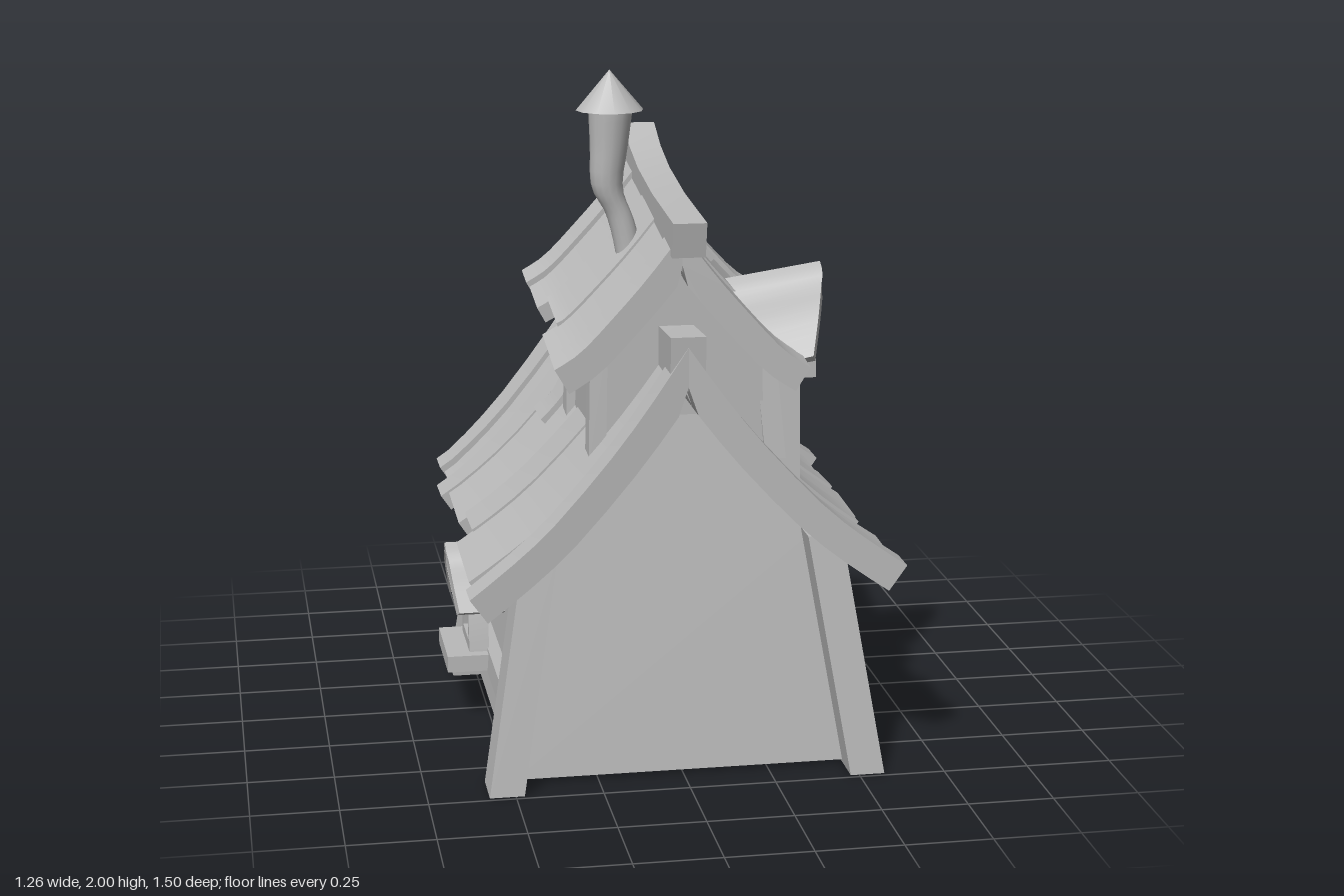
import * as THREE from 'three';
import { toCreasedNormals } from 'three/addons/utils/BufferGeometryUtils.js';

const clay = new THREE.MeshStandardMaterial({ color: 0xbababa, side: THREE.DoubleSide });
clay.name = 'clay grey';

function add(parent, name, geo) {
  const m = new THREE.Mesh(geo, clay);
  m.name = name;
  parent.add(m);
  return m;
}

function warp(geo, fn) {
  const p = geo.attributes.position, v = new THREE.Vector3();
  for (let i = 0; i < p.count; i++) {
    fn(v.fromBufferAttribute(p, i));
    p.setXYZ(i, v.x, v.y, v.z);
  }
  return geo;
}
const crease = (g) => toCreasedNormals(g, 0.6);
const outlineShape = (pts) => new THREE.Shape(pts.map(([x, y]) => new THREE.Vector2(x, y)));

// extrude an xy outline between two z values
function slab(outline, z0, z1, fn, holes = []) {
  const shape = outline instanceof THREE.Shape ? outline : outlineShape(outline);
  shape.holes.push(...holes);
  const g = new THREE.ExtrudeGeometry(shape, { depth: z1 - z0, bevelEnabled: false, curveSegments: 8 });
  g.translate(0, 0, z0);
  if (fn) warp(g, fn);
  return crease(g);
}

// extrude a zy outline across x
const crossSlab = (outline, x0, x1) => slab(outline, -x1, -x0).rotateY(-Math.PI / 2);

// one curved half of a gable roof, side = 1 or -1
function roofHalf(side, pts, t, z0, z1, fn) {
  const top = new THREE.SplineCurve(pts.map(([x, y]) => new THREE.Vector2(x, y))).getPoints(10);
  const low = top.map((p, i) => {
    const d = top[Math.min(i + 1, 10)].clone().sub(top[Math.max(i - 1, 0)]).normalize();
    return p.x < 0.005 ? new THREE.Vector2(0, p.y - t * 1.4)
      : new THREE.Vector2(Math.max(0, p.x + d.y * t), p.y - d.x * t);
  });
  return slab([...top, ...low.reverse()].map((p) => [p.x * side, p.y]), z0, z1, fn);
}

// straight timber from bottom centre to top centre with a level cut at both ends
function post(a, b, w, d) {
  const g = new THREE.BoxGeometry(w, 1, d);
  return crease(warp(g, (v) => {
    const k = v.y + 0.5;
    v.x += a[0] + (b[0] - a[0]) * k;
    v.z += a[2] + (b[2] - a[2]) * k;
    v.y = a[1] + (b[1] - a[1]) * k;
  }));
}
const box = (x0, x1, y0, y1, z0, z1) =>
  new THREE.BoxGeometry(x1 - x0, y1 - y0, z1 - z0).translate((x0 + x1) / 2, (y0 + y1) / 2, (z0 + z1) / 2);

// pointed arch outline
function arch(w, y0, y1, Type = THREE.Shape) {
  const s = new Type(), ym = y0 + (y1 - y0) * 0.4;
  s.moveTo(-w, y0);
  s.lineTo(w, y0);
  s.quadraticCurveTo(w * 0.85, ym, w * 0.45, y1 - w * 0.3);
  s.quadraticCurveTo(0, y1 + w * 0.3, -w * 0.45, y1 - w * 0.3);
  s.quadraticCurveTo(-w * 0.85, ym, -w, y0);
  return s;
}
function archWindow(g, w, y0, y1, z, rim) {
  add(g, 'archFrame', slab(arch(w, y0, y1), z - 0.06, z, null, [arch(w - rim, y0 + rim, y1 - rim * 1.5, THREE.Path)]));
  add(g, 'archPane', slab(arch(w - rim * 0.5, y0, y1 - rim), z - 0.05, z - 0.04));
}

const MAIN = [[0, 1.26], [0.1, 1.12], [0.22, 0.97], [0.38, 0.8], [0.5, 0.7], [0.6, 0.63]];
const UPPER = [[0, 1.57], [0.1, 1.44], [0.2, 1.325], [0.29, 1.23], [0.35, 1.19]];
const stretch = (pts, e, dy) => pts.map(([x, y], i) =>
  i === pts.length - 1 ? [x + e, y + dy - e * 0.7] : [x, y + dy]);

function lowerHouse(g) {
  // thin wall shell, open underneath
  const gable = [[-0.49, 0.01], [0.49, 0.01], [0.415, 0.7], [0.3, 0.8], [0.15, 0.97], [0, 1.17],
    [-0.15, 0.97], [-0.3, 0.8], [-0.415, 0.7]];
  const front = (y) => 0.635 - 0.13 * y, back = (y) => -0.37 + 0.08 * y;
  add(g, 'frontWall', crease(warp(new THREE.ShapeGeometry(outlineShape(gable)), (v) => { v.z = front(v.y); })));
  add(g, 'backWall', crease(warp(new THREE.ShapeGeometry(outlineShape(gable.map(([x, y]) => [-x, y]))).rotateY(Math.PI),
    (v) => { v.z = back(v.y); })));
  for (const s of [1, -1]) {
    add(g, 'sideWall', crease(warp(new THREE.PlaneGeometry(1, 1).rotateY(s * Math.PI / 2), (v) => {
      const k = v.y + 0.5, y = 0.01 + 0.69 * k;
      v.set(s * (0.49 - 0.075 * k), y, v.z > 0 ? front(y) : back(y));
    })));
    add(g, 'frontCornerPost', post([s * 0.525, 0, 0.67], [s * 0.41, 0.7, 0.58], 0.1, 0.13));
    add(g, 'backCornerPost', post([s * 0.525, 0, -0.36], [s * 0.41, 0.7, -0.305], 0.1, 0.125));
    const rafter = MAIN.map(([x, y]) => [x, y - 0.03]).slice(0, 5);
    add(g, 'frontRafter', roofHalf(s, rafter, 0.06, 0.5, 0.61));
    add(g, 'backRafter', roofHalf(s, rafter, 0.08, -0.4, -0.27));
    add(g, 'sideRail', post([s * 0.48, 0.155, 0.14], [s * 0.475, 0.22, 0.14], 0.06, 0.94));
  }
  add(g, 'backRail', box(-0.46, 0.46, 0.155, 0.22, -0.39, -0.33));
  add(g, 'backBeam', box(-0.42, 0.42, 0.56, 0.63, -0.38, -0.3));
}

function lowerRoof(g) {
  const lift = (v) => { v.y += 0.13 * Math.max(0, -v.z / 0.5) * Math.max(0, 1 - Math.abs(v.x) / 0.55); };
  // planks per side: z start, z end, eave stretch
  const left = [[-0.44, -0.19, -0.01], [-0.19, -0.01, -0.015], [-0.01, 0.21, 0.005], [0.21, 0.43, -0.04], [0.43, 0.63, 0.015]];
  const right = [[-0.44, -0.31, -0.02], [-0.31, -0.18, 0.015], [-0.18, 0.11, -0.01], [0.11, 0.3, -0.03], [0.3, 0.63, 0.015]];
  for (const s of [1, -1]) {
    (s > 0 ? left : right).forEach(([a, b, e], i) => {
      const tilt = i % 2 ? 0.03 : -0.04, mid = (a + b) / 2;
      add(g, 'roofPlank', roofHalf(s, stretch(MAIN, e, 0.012 * (i % 2)), 0.055, a - 0.005, b + 0.005,
        (v) => { v.y += tilt * (v.z - mid); lift(v); }));
    });
    const drop = s > 0 ? 0 : 0.035;
    add(g, 'frontBargeboard', roofHalf(s, stretch(MAIN, 0.025, 0.02), 0.09, 0.6, 0.7,
      (v) => { v.z += Math.abs(v.x) * 0.08; v.y -= drop * Math.abs(v.x) / 0.6; }));
    add(g, 'backBargeboard', roofHalf(s, stretch(MAIN, s > 0 ? 0.03 : -0.005, 0.025), 0.09, -0.545, -0.43,
      (v) => { v.z += Math.abs(v.x) * 0.03; lift(v); }));
    const patch = [[0.24, 0.99], [0.28, 0.94], [0.32, 0.9]];
    add(g, 'loosePlank', roofHalf(s, patch, 0.05, -0.2, -0.04));
  }
  add(g, 'lowerRidge', crossSlab([[0.7, 1.31], [0.3, 1.29], [-0.15, 1.345], [-0.5, 1.41], [-0.57, 1.48],
    [-0.63, 1.575], [-0.67, 1.595], [-0.69, 1.58], [-0.66, 1.42], [-0.63, 1.26], [-0.52, 1.26], [0.3, 1.18], [0.69, 1.17]],
  -0.05, 0.05));
}

function upperHouse(g) {
  add(g, 'upperWalls', slab([[-0.23, 0.8], [0.26, 0.8], [0.25, 1.23], [0, 1.47], [-0.22, 1.27]], -0.03, 0.5));
  for (const z of [0.48, 0.02]) {
    add(g, 'upperPostRight', post([0.29, 0.9, z], [0.26, 1.24, z - 0.03], 0.06, 0.07));
    add(g, 'upperPostLeft', post([-0.23, 0.9, z], [-0.22, 1.28, z - 0.02], 0.05, 0.07));
  }
  for (const s of [1, -1]) {
    const rise = s > 0 ? 0.08 : 0.12, eave = s > 0 ? 0 : 0.06;
    const lift = (v) => { v.y += rise * (0.6 - v.z) / 0.75 + eave * Math.abs(v.x); };
    const bands = [[-0.08, 0.13], [0.13, 0.33], [0.33, 0.51]];
    bands.forEach(([a, b], i) => add(g, 'upperPlank', roofHalf(s, stretch(UPPER, [0.0, -0.03, 0.01][i], 0.01 * (i % 2)),
      0.05, a - 0.005, b + 0.005, lift)));
    add(g, 'upperFrontBoard', roofHalf(s, stretch(UPPER, 0.015, 0.015), 0.08, 0.5, 0.6,
      (v) => { v.z += Math.abs(v.x) * 0.06; lift(v); }));
    add(g, 'upperBackBoard', roofHalf(s, stretch(UPPER, 0.01, 0.02), 0.085, -0.165, -0.06,
      (v) => { v.z += Math.abs(v.x) * 0.06; lift(v); }));
  }
  add(g, 'upperPatch', roofHalf(1, [[0.08, 1.53], [0.12, 1.485], [0.16, 1.445]], 0.04, 0.11, 0.26));
  add(g, 'upperRidge', crossSlab([[0.65, 1.62], [0.3, 1.645], [0.05, 1.68], [-0.1, 1.72], [-0.22, 1.775], [-0.24, 1.765],
    [-0.19, 1.59], [0, 1.58], [0.3, 1.55], [0.63, 1.52]], -0.035, 0.06));
}

function chimney(g) {
  // bent pipe, flared by rings along a curve
  const path = new THREE.CatmullRomCurve3([[-0.09, 1.38], [-0.1, 1.48], [-0.125, 1.58], [-0.16, 1.66], [-0.155, 1.78], [-0.15, 1.89]]
    .map(([x, y]) => new THREE.Vector3(x, y, 0.265)));
  const radii = (k) => 0.038 + 0.026 * Math.max(0, (k - 0.45) / 0.55);
  const pipe = new THREE.CylinderGeometry(1, 1, 1, 14, 16);
  warp(pipe, (v) => {
    const k = v.y + 0.5, c = path.getPoint(k), r = radii(k);
    v.set(c.x + v.x * r, c.y, c.z + v.z * r);
  });
  add(g, 'chimneyPipe', crease(pipe));
  add(g, 'chimneyCap', crease(new THREE.ConeGeometry(0.098, 0.115, 12).translate(-0.152, 1.9425, 0.26)));
}

// small gable roof in a local frame facing +z, its front edge swept back beyond the crown
function hood(g, pts, t, z0, z1, flare, rise = 0) {
  for (const s of [1, -1]) {
    add(g, 'hoodRoof', roofHalf(s, pts, t, z0, z1, (v) => {
      v.y += rise * (v.z - z1);
      if (v.z > (z0 + z1) / 2) v.z -= Math.max(0, Math.abs(v.x) - 0.04) * flare;
    }));
  }
}

function dormer(g) {
  const d = new THREE.Group();
  d.name = 'dormer';
  d.rotation.y = Math.PI / 2;
  d.position.z = 0.29;
  add(d, 'dormerWalls', slab([[-0.11, 0.8], [0.11, 0.8], [0.12, 1.17], [0, 1.36], [-0.12, 1.17]], 0.1, 0.345));
  for (const s of [1, -1]) add(d, 'dormerPost', post([s * 0.125, 0.81, 0.345], [s * 0.105, 1.13, 0.345], 0.05, 0.07));
  add(d, 'dormerBeam', box(-0.14, 0.14, 1.115, 1.17, 0.3, 0.425));
  archWindow(d, 0.1, 1.17, 1.385, 0.4, 0.025);
  hood(d, [[0, 1.43], [0.05, 1.39], [0.1, 1.285], [0.17, 1.185]], 0.035, 0.1, 0.465, 0.42, 0.15);
  g.add(d);
}

function sideWindow(g, s) {
  const w = new THREE.Group();
  w.name = s > 0 ? 'leftWindow' : 'rightWindow';
  w.rotation.y = s * Math.PI / 2;
  w.position.set(s > 0 ? 0 : -0.04, 0, -0.025);
  add(w, 'windowSill', box(-0.14, 0.14, 0.16, 0.21, 0.44, 0.59));
  archWindow(w, 0.105, 0.21, 0.49, 0.52, 0.03);
  hood(w, [[0, 0.53], [0.05, 0.5], [0.09, 0.425], [0.135, 0.345]], 0.025, 0.38, 0.58, 0.3);
  g.add(w);
}

function porch(g) {
  const p = new THREE.Group();
  p.name = 'porch';
  p.rotation.y = Math.PI;
  // walls with an arched passage that is open to the ground
  const half = [[0.12, 0], [0.115, 0.24], [0.07, 0.35], [0, 0.39]];
  add(p, 'porchWalls', slab([[-0.18, 0], ...half.map(([x, y]) => [-x, y]), ...half.slice(0, 3).reverse(),
    [0.18, 0], [0.165, 0.35], [0, 0.49], [-0.165, 0.35]], 0.34, 0.65, (v) => { if (v.z > 0.5) v.z -= v.y * 0.06; }));
  add(p, 'doorPane', slab(arch(0.135, 0.02, 0.4), 0.575, 0.583));
  for (let i = 0; i < 4; i++) add(p, 'doorSlat', box(-0.115, 0.115, 0.03 + i * 0.075, 0.09 + i * 0.075, 0.58, 0.615));
  hood(p, [[0, 0.53], [0.07, 0.465], [0.14, 0.395], [0.2, 0.365]], 0.045, 0.34, 0.665, 0.05, 0.05);
  add(p, 'porchRidge', crossSlab([[0.36, 0.55], [0.55, 0.57], [0.74, 0.605], [0.755, 0.59], [0.75, 0.51], [0.7, 0.49], [0.36, 0.47]], -0.035, 0.055));
  g.add(p);
}

function balcony(g) {
  const b = new THREE.Group();
  b.name = 'balcony';
  b.rotation.y = Math.PI;
  const at = (i, r) => [Math.cos(i * Math.PI / 5) * 0.26 * r, 0.33 + Math.sin(i * Math.PI / 5) * 0.23 * r];
  const ids = [0, 1, 2, 3, 4, 5];
  const level = (outline, y0, y1) => slab(outline.map(([x, z]) => [x, -z]), y0, y1).rotateX(-Math.PI / 2);
  const ring = [...ids.map((i) => at(i, 1)), ...ids.slice().reverse().map((i) => at(i, 0.8))];
  add(b, 'balconyFloor', level(ids.map((i) => at(i, 1)), 0.64, 0.69));
  add(b, 'balconyRail', level(ring, 0.78, 0.82));
  for (const i of ids) {
    const [x, z] = at(i, 0.9);
    add(b, 'baluster', box(x - 0.02, x + 0.02, 0.68, 0.79, z - 0.02, z + 0.02));
  }
  archWindow(b, 0.08, 0.69, 0.94, 0.34, 0.025);
  g.add(b);
}

export function createModel() {
  const g = new THREE.Group();
  g.name = 'cottage';
  lowerHouse(g);
  lowerRoof(g);
  upperHouse(g);
  chimney(g);
  dormer(g);
  sideWindow(g, 1);
  sideWindow(g, -1);
  porch(g);
  balcony(g);
  return g;
}
